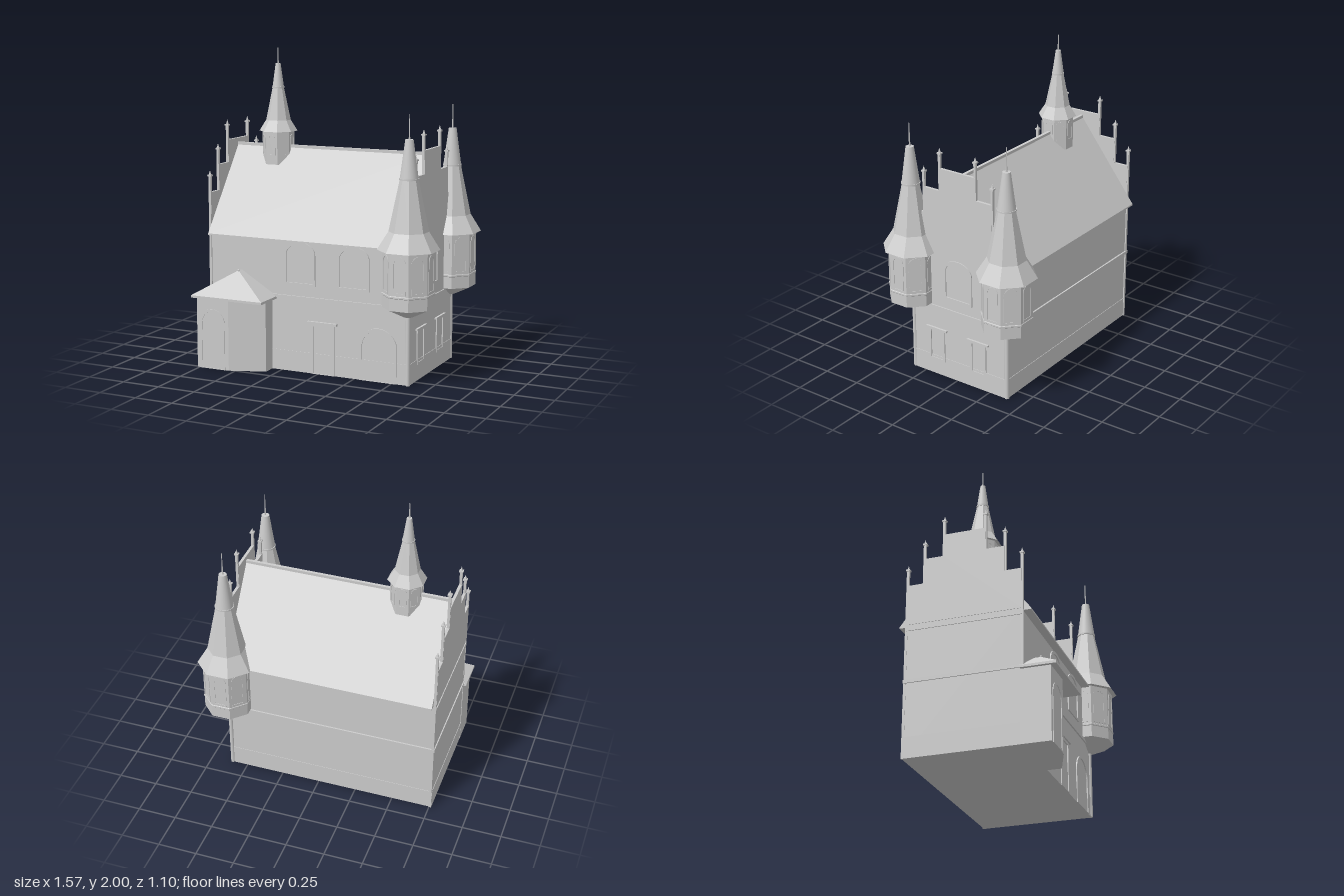
import * as THREE from 'three';

const smooth = new THREE.MeshStandardMaterial({ color: 0xcccccc, side: THREE.DoubleSide });
const flat = new THREE.MeshStandardMaterial({ color: 0xcccccc, flatShading: true, side: THREE.DoubleSide });

const X0 = -0.755, X1 = 0.605;          // gable planes
const ZF = 0.34, ZB = -0.38, ZC = -0.02; // front wall, back wall, ridge line

function add(parent, name, geometry, x = 0, y = 0, z = 0, material = flat) {
  const mesh = new THREE.Mesh(geometry, material);
  mesh.name = name;
  mesh.position.set(x, y, z);
  parent.add(mesh);
  return mesh;
}

// Box given by its limits on each axis
function block(parent, name, [x0, x1], [y0, y1], [z0, z1]) {
  return add(parent, name, new THREE.BoxGeometry(x1 - x0, y1 - y0, z1 - z0),
    (x0 + x1) / 2, (y0 + y1) / 2, (z0 + z1) / 2);
}

// Closed (z, y) outline extruded along x
function prism(parent, name, points, x0, x1) {
  const shape = new THREE.Shape(points.map(([z, y]) => new THREE.Vector2(z, y)));
  const geometry = new THREE.ExtrudeGeometry(shape, { depth: x1 - x0, bevelEnabled: false });
  return add(parent, name, geometry.rotateY(-Math.PI / 2), x1);
}

// Outline with an elliptical head, standing on y = bottom
function archPath(Kind, w, bottom, h, rise) {
  const path = new Kind();
  path.moveTo(-w / 2, bottom);
  path.lineTo(w / 2, bottom);
  path.lineTo(w / 2, h - rise);
  if (rise > 0) path.absellipse(0, h - rise, w / 2, rise, 0, Math.PI, false);
  else path.lineTo(-w / 2, h);
  path.closePath();
  return path;
}

// Raised frame around an opening; angle turns it to face outwards
function frame(parent, name, w, h, rise, t, x, y, z, angle = 0, sill = t) {
  const shape = archPath(THREE.Shape, w, 0, h, rise);
  shape.holes.push(archPath(THREE.Path, w - 2 * t, sill, h - t, rise > 0 ? rise - t * 0.5 : 0));
  const geometry = new THREE.ExtrudeGeometry(shape, { depth: 0.008, bevelEnabled: false, curveSegments: 12 });
  add(parent, name, geometry, x, y, z).rotation.y = angle;
}

// Eight-sided solid from [apothem, y] pairs, flats facing the axes
function octagon(parent, name, profile) {
  const points = profile.map(([r, y]) => new THREE.Vector2(r / Math.cos(Math.PI / 8), y));
  return add(parent, name, new THREE.LatheGeometry(points, 8, Math.PI / 8));
}

// Round cap and needle finishing a spire
function spireCap(parent, r0, r1, y0, y1, top) {
  add(parent, 'spireCapLip', new THREE.CylinderGeometry(r0, r0, 0.01, 24), 0, y0, 0, smooth);
  add(parent, 'spireCap', new THREE.CylinderGeometry(r1, r0 * 0.95, y1 - y0, 24), 0, (y0 + y1) / 2, 0, smooth);
  add(parent, 'needle', new THREE.CylinderGeometry(0.002, 0.005, top - y1, 8), 0, (y1 + top) / 2, 0, smooth);
}

function windowRing(parent, apothem, w, h, y) {
  for (let i = 0; i < 8; i++) {
    const a = i * Math.PI / 4, r = apothem - 0.005;
    frame(parent, 'turretWindow', w, h, w / 2, w * 0.12, Math.sin(a) * r, y, Math.cos(a) * r, a);
  }
}

function cornerTurret(z) {
  const turret = new THREE.Group();
  turret.name = 'cornerTurret';
  turret.position.set(X1, 0, z);
  octagon(turret, 'turretBody', [[0, 0.42], [0.03, 0.43], [0.147, 0.49], [0.147, 0.84]]);
  octagon(turret, 'turretLedge', [[0.147, 0.565], [0.15, 0.568], [0.15, 0.578], [0.147, 0.581]]);
  octagon(turret, 'turretRoof', [[0.14, 0.84], [0.175, 0.84], [0.112, 0.95], [0.05, 1.27]]);
  spireCap(turret, 0.06, 0.025, 1.265, 1.5, 1.65);
  windowRing(turret, 0.147, 0.085, 0.23, 0.59);
  add(turret, 'cornerColumn', new THREE.CylinderGeometry(0.014, 0.014, 0.44, 12), 0, 0.22, 0, smooth);
  return turret;
}

function ridgeTurret() {
  const turret = new THREE.Group();
  turret.name = 'ridgeTurret';
  turret.position.set(-0.453, 0, ZC);
  octagon(turret, 'turretBody', [[0, 1.26], [0.095, 1.26], [0.095, 1.47]]);
  octagon(turret, 'turretRoof', [[0.09, 1.47], [0.113, 1.47], [0.073, 1.54], [0.033, 1.75]]);
  spireCap(turret, 0.039, 0.016, 1.748, 1.9, 2);
  windowRing(turret, 0.095, 0.05, 0.13, 1.32);
  return turret;
}

// Slim pier with a cap and a pointed finial
function pinnacle(parent, x, z, y0, top) {
  block(parent, 'pinnacleShaft', [x - 0.008, x + 0.008], [y0, top - 0.035], [z - 0.008, z + 0.008]);
  block(parent, 'pinnacleCap', [x - 0.013, x + 0.013], [top - 0.04, top - 0.03], [z - 0.013, z + 0.013]);
  add(parent, 'pinnacleFinial', new THREE.ConeGeometry(0.009, 0.03, 8), x, top - 0.015, z);
}

function gable(x, isLeftEnd) {
  const group = new THREE.Group();
  group.name = 'steppedGable';
  const half = [[0.36, 0.84], [0.36, 1.1], [0.255, 1.1], [0.255, 1.265], [0.135, 1.265], [0.135, 1.41]];
  const outline = [
    ...half.map(([d, y]) => [ZC + d, y]),
    ...half.slice().reverse().map(([d, y]) => [ZC - d, y]),
  ];
  prism(group, 'gableWall', outline, x - 0.009, x + 0.009);
  for (const s of [-1, 1]) {
    pinnacle(group, x, ZC + s * 0.132, 1.265, 1.54);
    pinnacle(group, x, ZC + s * 0.255, 1.1, 1.4);
    if (isLeftEnd) pinnacle(group, x, ZC + s * 0.36, 0, 1.24);
  }
  return group;
}

function porch() {
  const group = new THREE.Group();
  group.name = 'porch';
  // Plan with one slanted front face
  const plan = [[-0.765, 0.33], [-0.765, 0.51], [-0.54, 0.51], [-0.317, 0.43], [-0.317, 0.33]];
  const shape = new THREE.Shape(plan.map(([x, z]) => new THREE.Vector2(x, -z)));
  const walls = new THREE.ExtrudeGeometry(shape, { depth: 0.46, bevelEnabled: false });
  add(group, 'porchWalls', walls.rotateX(-Math.PI / 2));
  block(group, 'porchEave', [-0.785, -0.285], [0.455, 0.47], [0.33, 0.547]);
  frame(group, 'porchDoorway', 0.175, 0.385, 0.087, 0.014, -0.653, 0, 0.506, 0, 0.004);

  // Hipped roof leaning on the front wall
  const a = [-0.785, 0.47, 0.547], b = [-0.285, 0.47, 0.547], c = [-0.285, 0.47, 0.33];
  const d = [-0.785, 0.47, 0.33], p = [-0.535, 0.62, 0.38], q = [-0.535, 0.62, 0.33];
  const faces = [a, b, p, b, c, q, b, q, p, d, a, p, d, p, q];
  const roof = new THREE.BufferGeometry();
  roof.setAttribute('position', new THREE.Float32BufferAttribute(faces.flat(), 3));
  roof.computeVertexNormals();
  add(group, 'porchRoof', roof);
  add(group, 'porchFinial', new THREE.SphereGeometry(0.008, 10, 8), -0.535, 0.62, 0.38, smooth);
  return group;
}

export function createModel() {
  const model = new THREE.Group();
  model.name = 'townHall';

  // Main walls, plinth and string courses
  block(model, 'mainWalls', [X0 - 0.006, X1 + 0.006], [0, 0.84], [ZB, ZF]);
  block(model, 'plinth', [X0 - 0.009, X1 + 0.009], [0, 0.13], [ZB - 0.003, ZF + 0.003]);
  block(model, 'stringCourse', [X0 - 0.013, X1 + 0.013], [0.465, 0.485], [ZB - 0.01, ZF + 0.01]);
  block(model, 'gableCourse', [X0 - 0.011, X0], [0.8, 0.812], [ZB, ZF]);

  // Steep roof with ridge cap
  const eave = 0.41;
  prism(model, 'mainRoof', [
    [ZC + eave, 0.832], [ZC + eave, 0.842], [ZC, 1.375], [ZC - eave, 0.842], [ZC - eave, 0.832],
  ], X0 + 0.009, X1 - 0.009);
  block(model, 'ridgeCap', [X0, X1], [1.365, 1.383], [ZC - 0.01, ZC + 0.01]);

  model.add(gable(X0, true), gable(X1, false));
  model.add(cornerTurret(ZF), cornerTurret(ZB + 0.003), ridgeTurret(), porch());

  // Tall upper windows
  for (const x of [-0.123, 0.242]) frame(model, 'upperWindow', 0.215, 0.275, 0.075, 0.016, x, 0.553, ZF);
  frame(model, 'gableWindow', 0.215, 0.275, 0.075, 0.016, X1 + 0.005, 0.553, -0.015, Math.PI / 2);

  // Front door with hood, and wide archway
  frame(model, 'frontDoor', 0.16, 0.32, 0, 0.016, 0.035, 0, ZF, 0, 0.004);
  block(model, 'doorHood', [-0.065, 0.135], [0.32, 0.335], [ZF, ZF + 0.018]);
  frame(model, 'archway', 0.25, 0.335, 0.12, 0.016, 0.41, 0, ZF, 0, 0.004);

  // Small side windows with hoods
  for (const z of [0.155, -0.165]) {
    frame(model, 'sideWindow', 0.12, 0.22, 0, 0.014, X1 + 0.005, 0.1, z, Math.PI / 2);
    block(model, 'sideWindowHood', [X1, X1 + 0.02], [0.318, 0.33], [z - 0.08, z + 0.08]);
  }
  return model;
}
